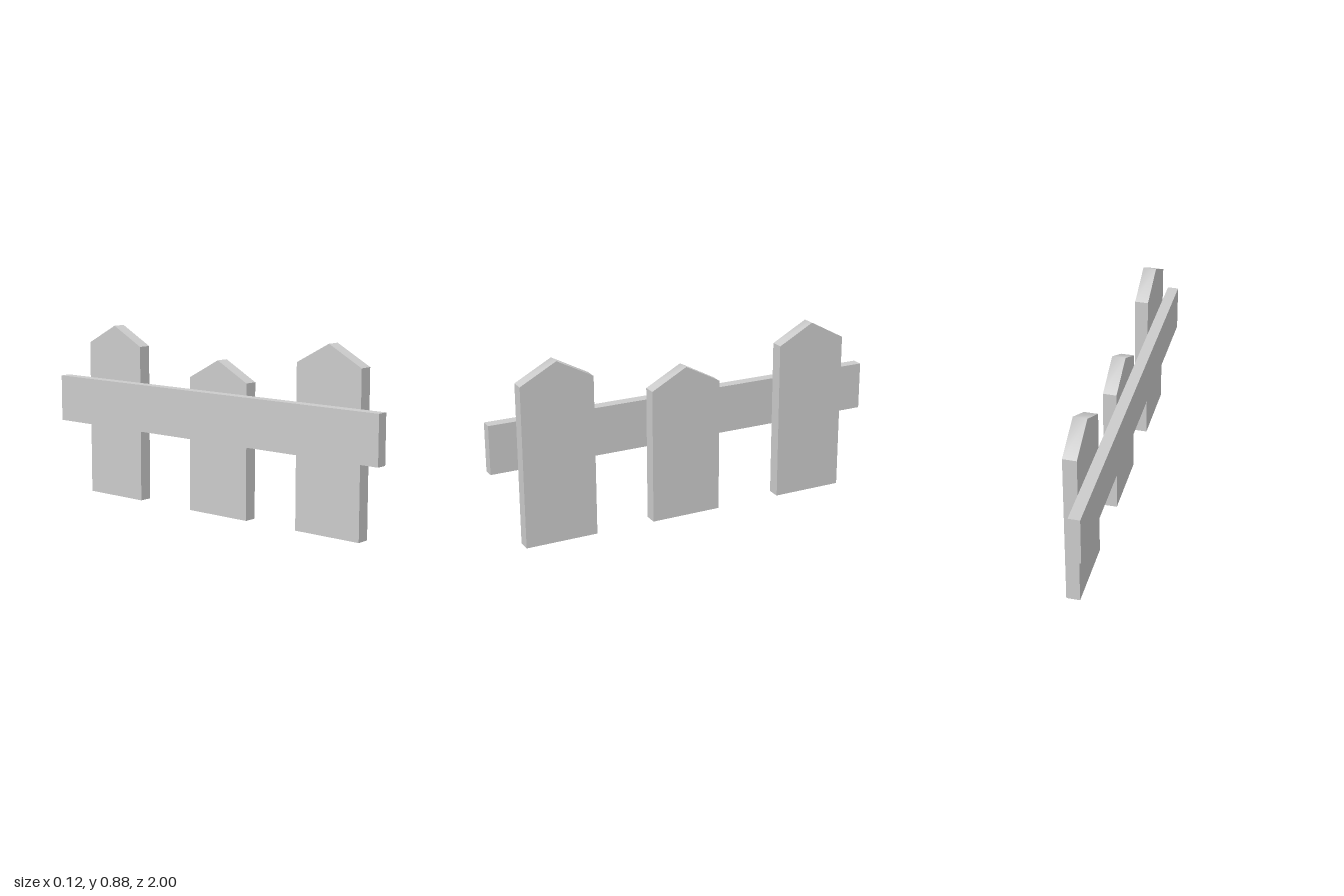
import * as THREE from 'three';
import { toCreasedNormals } from 'three/addons/utils/BufferGeometryUtils.js';

const WIDTH = 0.358, THICK = 0.065, PEAK = 0.096, JOINT_X = -0.005;

// Pointed board standing on the ground, its broad face towards +x
function picketGeometry(height) {
  const h = WIDTH / 2, shoulder = height - PEAK;
  const outline = new THREE.Shape([
    new THREE.Vector2(-h, 0),
    new THREE.Vector2(h, 0),
    new THREE.Vector2(h, shoulder),
    new THREE.Vector2(0, height),
    new THREE.Vector2(-h, shoulder),
  ]);
  const geo = new THREE.ExtrudeGeometry(outline, { depth: THICK, bevelEnabled: false });
  geo.rotateY(Math.PI / 2);
  // The two top slopes shade smoothly into each other, other edges stay sharp
  return toCreasedNormals(geo, THREE.MathUtils.degToRad(59));
}

export function createModel() {
  const group = new THREE.Group();
  group.name = 'picketFence';
  const material = new THREE.MeshStandardMaterial({ color: 0xcccccc });

  // Pickets: name, z position, height
  const pickets = [
    ['frontPicket', 0.688, 0.881],
    ['middlePicket', 0.034, 0.757],
    ['backPicket', -0.659, 0.881],
  ];
  for (const [name, z, height] of pickets) {
    const picket = new THREE.Mesh(picketGeometry(height), material);
    picket.name = name;
    picket.position.set(JOINT_X, 0, z);
    group.add(picket);
  }

  // Horizontal rail behind the pickets
  const rail = new THREE.Mesh(new THREE.BoxGeometry(0.055, 0.236, 2), material);
  rail.name = 'rail';
  rail.position.set(JOINT_X - 0.0275, 0.486, 0);
  group.add(rail);

  return group;
}
